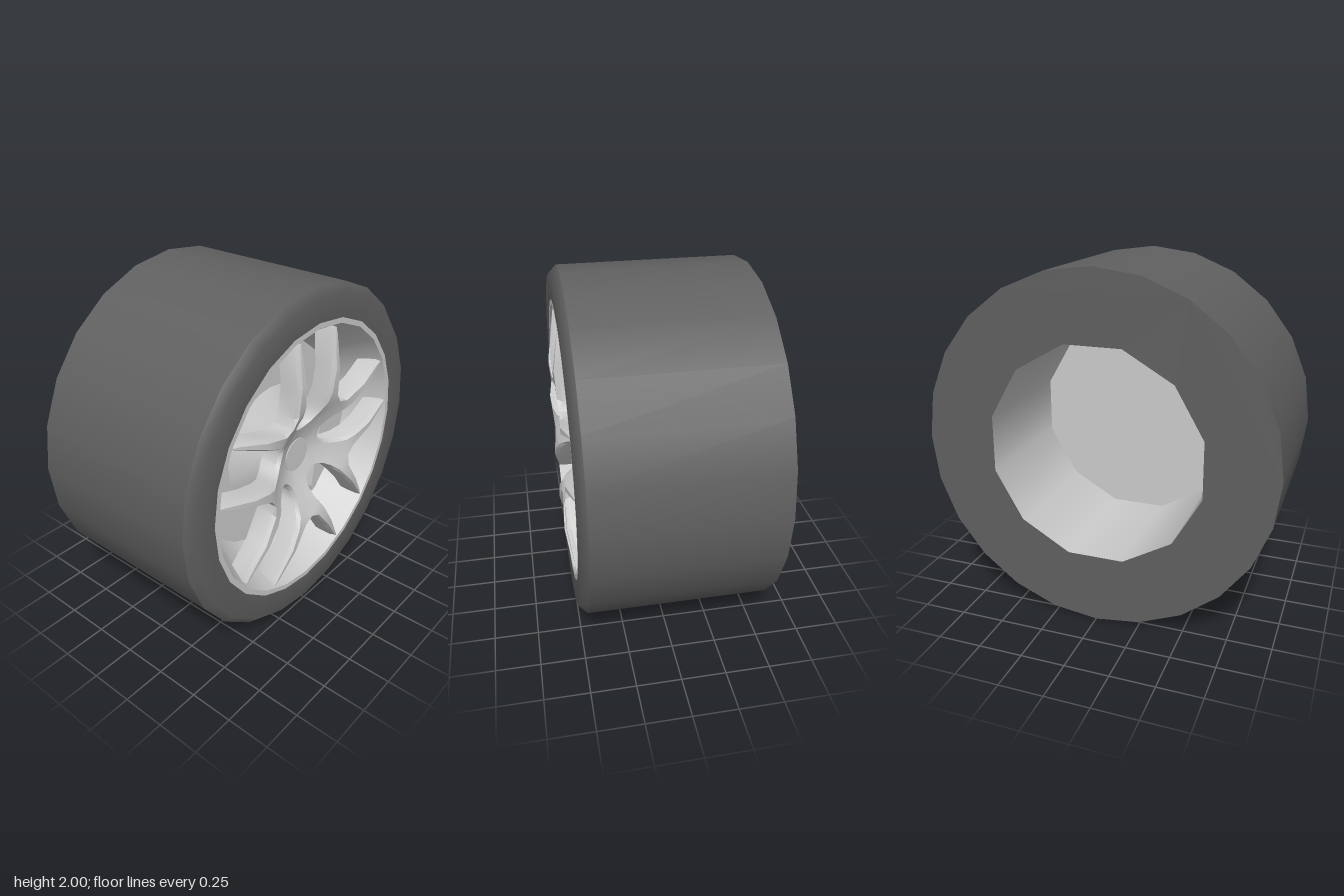
import * as THREE from 'three';
import { toCreasedNormals } from 'three/addons/utils/BufferGeometryUtils.js';

const grey = new THREE.MeshStandardMaterial({ color: 0xcccccc, side: THREE.DoubleSide });
const rubber = new THREE.MeshStandardMaterial({ color: 0x606060, side: THREE.DoubleSide });
const BORE = 0.62;      // radius of the inner bore
const FLOOR = 0.2;      // x of the brake disc

// Surface turned around the x axis; profile points are [radius, x].
function turned(name, profile, material, sides = 24, start = 0) {
  const points = profile.map(([r, x]) => new THREE.Vector2(r, x));
  const geo = new THREE.LatheGeometry(points, sides, start);
  geo.rotateZ(-Math.PI / 2);
  const mesh = new THREE.Mesh(geo, material);
  mesh.name = name;
  return mesh;
}

// Flat back of the tyre: 24-sided outside, 12-sided hole
function makeBackFace() {
  const ring = (r, sides, start) => Array.from({ length: sides }, (_, i) => {
    const a = start + i * Math.PI * 2 / sides;
    return new THREE.Vector2(r * Math.sin(a), r * Math.cos(a));
  });
  const shape = new THREE.Shape(ring(1, 24, 0));
  shape.holes.push(new THREE.Path(ring(BORE, 12, Math.PI / 12)));
  const mesh = new THREE.Mesh(new THREE.ShapeGeometry(shape), rubber);
  mesh.geometry.rotateY(-Math.PI / 2);
  mesh.position.x = -0.55;
  mesh.name = 'innerSidewall';
  return mesh;
}

// x of the spoke face at a given radius: dished centre, crest, falling to the rim
const FACE = [[0, 0.39], [0.1, 0.395], [0.19, 0.425], [0.28, 0.475], [0.37, 0.53], [0.5, 0.547], [0.77, 0.508]];
function faceX(r) {
  const i = Math.max(1, FACE.findIndex(([fr]) => fr >= r));
  const [r0, x0] = FACE[i - 1], [r1, x1] = FACE[i];
  return x0 + (x1 - x0) * (r - r0) / (r1 - r0);
}

// One spoke from hub to tip: [inner edge u, v, outer edge u, v, outer edge is bevelled]
const STATIONS = [
  [0, 0.19, 0, 0.1, 0],
  [0.035, 0.193, 0.016, 0.0987, 0],
  [0.068, 0.21, 0.031, 0.095, 0],
  [0.092, 0.245, 0.0588, 0.0809, 0],
  [0.101, 0.285, 0.135, 0.186, 0],
  [0.106, 0.33, 0.216, 0.297, 0],
  [0.112, 0.4, 0.19, 0.345, 1],
  [0.123, 0.52, 0.183, 0.52, 1],
  [0.14, 0.72, 0.176, 0.71, 1],
  [0.15, 0.748, 0.162, 0.748, 1],
];

// Cross-section of the spoke at a station, as [u, v, x] points
function section([iu, iv, ou, ov, bevelled]) {
  const inset = Math.min(0.014, Math.hypot(ou - iu, ov - iv) * 0.3) / Math.hypot(ou - iu, ov - iv);
  const at = (t, drop) => {
    const u = iu + (ou - iu) * t, v = iv + (ov - iv) * t;
    return [u, v, faceX(Math.hypot(u, v)) - drop];
  };
  return [
    at(0, 0.13), at(0, 0.025), at(inset, 0), at(0.5, 0),
    at(1 - inset * bevelled, 0), at(1, 0.025 * bevelled), at(1, 0.13),
  ];
}

// Ten mirrored half-forks make the five forked spokes and their hub
function makeSpokes() {
  const sections = STATIONS.map(section);
  const n = sections[0].length;
  const positions = [], indices = [];
  for (let k = 0; k < 5; k++) {
    const c = Math.cos(k * Math.PI * 0.4), s = Math.sin(k * Math.PI * 0.4);
    for (const side of [1, -1]) {
      const base = positions.length / 3;
      for (const [u, v, x] of sections.flat()) {
        positions.push(x, v * c - side * u * s, -(side * u * c + v * s));
      }
      const face = (a, b, d) => indices.push(base + a, base + (side > 0 ? b : d), base + (side > 0 ? d : b));
      for (let i = 0; i < sections.length - 1; i++) {
        for (let j = 0; j < n; j++) {
          const a = i * n + j, b = i * n + (j + 1) % n;
          face(a, b, b + n);
          face(a, b + n, a + n);
        }
      }
      // tip cap
      const tip = (sections.length - 1) * n;
      for (let j = 1; j < n - 1; j++) face(tip, tip + j, tip + j + 1);
    }
  }
  const geo = new THREE.BufferGeometry();
  geo.setAttribute('position', new THREE.Float32BufferAttribute(positions, 3));
  geo.setIndex(indices);
  const mesh = new THREE.Mesh(toCreasedNormals(geo, 0.5), grey);
  mesh.name = 'spokes';
  return mesh;
}

// Brake caliper: curved block lying on the disc
function makeCaliper() {
  const shape = new THREE.Shape([
    [0.44, 0.32], [0.33, -0.43], [0.34, -0.47], [0.37, -0.46], [0.57, -0.25],
    [0.635, -0.04], [0.61, 0.13], [0.53, 0.32], [0.48, 0.335],
  ].map(([u, v]) => new THREE.Vector2(u, v)));
  const geo = new THREE.ExtrudeGeometry(shape, { depth: 0.09, bevelEnabled: false });
  geo.translate(0, 0, FLOOR).rotateY(Math.PI / 2);
  const mesh = new THREE.Mesh(geo, grey);
  mesh.name = 'brakeCaliper';
  return mesh;
}

export function createModel() {
  const wheel = new THREE.Group();
  wheel.name = 'wheel';

  // tyre
  const tyre = new THREE.Group();
  tyre.name = 'tyre';
  tyre.add(
    turned('tread', [[1, -0.55], [1, 0.47]], rubber),
    turned('outerSidewall', [[1, 0.47], [0.955, 0.515], [0.815, 0.51]], rubber),
    makeBackFace(),
  );

  // rim and bore
  const rim = new THREE.Group();
  rim.name = 'rim';
  rim.add(
    turned('rimLip', [[0.815, 0.51], [0.785, 0.51]], grey),
    turned('rimWall', [[0.785, 0.51], [BORE, FLOOR]], grey),
    turned('bore', [[BORE, FLOOR], [BORE, -0.55]], grey, 12, Math.PI / 12),
  );

  // brake disc, hub and centre cap
  wheel.add(
    tyre, rim, makeSpokes(), makeCaliper(),
    turned('brakeDisc', [[BORE, FLOOR], [0, FLOOR]], grey),
    turned('hubCone', [[0.36, FLOOR], [0.17, 0.32]], grey),
    turned('centreCap', [[0.1, 0.28], [0.1, 0.4]], grey),
    turned('centreCapFace', [[0.1, 0.4], [0, 0.4]], grey),
  );
  wheel.position.y = 1;

  const model = new THREE.Group();
  model.add(wheel);
  return model;
}
